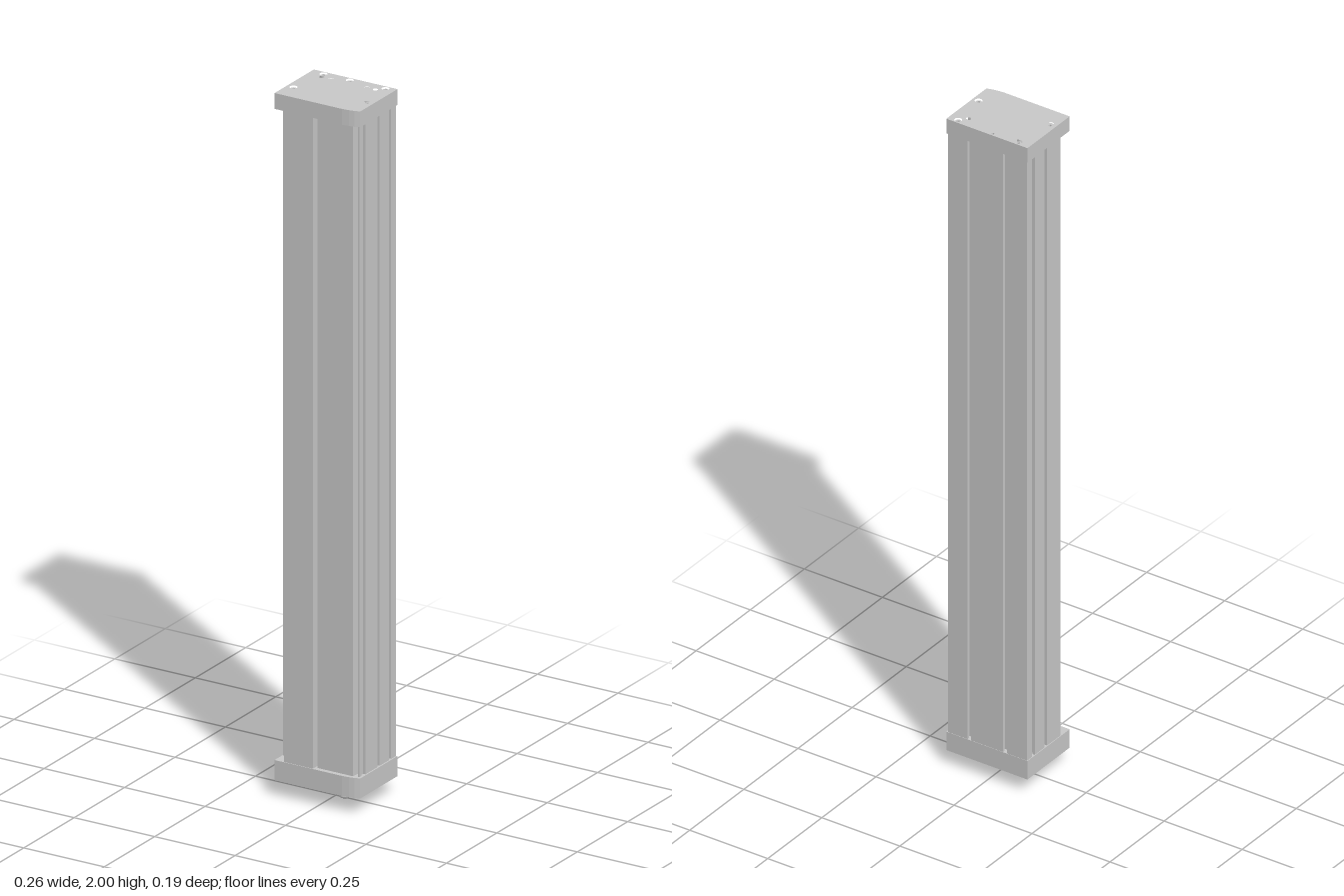
import * as THREE from 'three';

const material = new THREE.MeshStandardMaterial({ color: 0xcccccc });

// Plan outline given as [x, z] points, extruded upward from y0 to y1
function prism(name, points, y0, y1, holes = []) {
  const shape = new THREE.Shape(points.map(([x, z]) => new THREE.Vector2(x, -z)));
  for (const [x, z, r] of holes) {
    shape.holes.push(new THREE.Path().absarc(x, -z, r, 0, Math.PI * 2, true));
  }
  const geometry = new THREE.ExtrudeGeometry(shape, { depth: y1 - y0, bevelEnabled: false, curveSegments: 12 });
  geometry.rotateX(-Math.PI / 2);
  geometry.translate(0, y0, 0);
  const mesh = new THREE.Mesh(geometry, material);
  mesh.name = name;
  return mesh;
}

// Upright cylinder between two heights
function rod(name, x, z, r, y0, y1, sides = 24) {
  const mesh = new THREE.Mesh(new THREE.CylinderGeometry(r, r, y1 - y0, sides), material);
  mesh.position.set(x, (y0 + y1) / 2, z);
  mesh.name = name;
  return mesh;
}

// T-slot around [x, z], walking along [dx, dz]; the inside lies at [-dz, dx]
function slot(x, z, dx, dz) {
  const steps = [[-0.006, 0], [-0.006, 0.008], [-0.011, 0.008], [-0.011, 0.016],
    [0.011, 0.016], [0.011, 0.008], [0.006, 0.008], [0.006, 0]];
  return steps.map(([a, d]) => [x + a * dx - d * dz, z + a * dz + d * dx]);
}

export function createModel() {
  const model = new THREE.Group();
  model.name = 'linearActuator';

  // Slotted body profile: back, left side, stepped front, right side
  const profile = [
    [-0.128, -0.097], ...slot(-0.057, -0.097, 1, 0), ...slot(0.057, -0.097, 1, 0), [0.126, -0.097],
    ...slot(0.126, -0.067, 0, 1), ...slot(0.126, -0.01, 0, 1),
    [0.126, 0.055], [0.119, 0.055], [0.119, 0.07], [0.123, 0.07], [0.123, 0.08],
    [0.118, 0.08], [0.118, 0.06], [0.108, 0.06], [0.106, 0.084],
    [-0.004, 0.084], [-0.004, 0.065], [-0.012, 0.065], [-0.012, 0.095],
    [-0.102, 0.095], [-0.102, 0.05], [-0.12, 0.05], [-0.12, 0.058], [-0.128, 0.058],
    ...slot(-0.128, -0.01, 0, -1), ...slot(-0.128, -0.067, 0, -1),
  ];
  model.add(prism('body', profile, 0.1, 1.96));

  // End caps with one softened front corner
  const capOutline = [[-0.13, -0.098], [0.13, -0.098], [0.13, 0.087], [0.115, 0.092],
    [0.1, 0.095], [0.08, 0.097], [-0.13, 0.097]];
  const screws = [[-0.092, -0.085], [-0.01, -0.085], [0.101, -0.085], [-0.11, 0.035], [0.112, 0.025]];
  const pins = [[-0.084, -0.065], [-0.056, -0.065], [0.056, -0.065], [0.082, -0.065]];
  const topHoles = [...screws.map(([x, z]) => [x, z, 0.0105]), ...pins.map(([x, z]) => [x, z, 0.007])];
  model.add(prism('topCap', capOutline, 1.955, 2, topHoles));

  // Socket screws sunk in the top cap, and dowel pins
  const hexagon = (cx, cz, r) => {
    const path = new THREE.Path();
    path.setFromPoints(Array.from({ length: 6 }, (_, i) => new THREE.Vector2(
      cx + r * Math.cos(-i * Math.PI / 3), cz + r * Math.sin(-i * Math.PI / 3))));
    return path;
  };
  for (const [x, z] of screws) {
    const head = new THREE.Shape().absarc(0, 0, 0.0085, 0, Math.PI * 2);
    head.holes.push(hexagon(0, 0, 0.0045));
    const geometry = new THREE.ExtrudeGeometry(head, { depth: 0.03, bevelEnabled: false, curveSegments: 10 });
    geometry.rotateX(-Math.PI / 2);
    const screw = new THREE.Mesh(geometry, material);
    screw.position.set(x, 1.966, z);
    screw.name = 'screw';
    model.add(screw, rod('screwCore', x, z, 0.006, 1.96, 1.988, 12));
  }
  pins.forEach(([x, z], i) => {
    const top = i === 1 || i === 2 ? 1.999 : 1.992;
    model.add(rod('pin', x, z, 0.0069, 1.956, top, 16));
  });

  // Bottom cap with a round recess for the drive
  const sx = 0.026, sz = -0.003;
  model.add(prism('bottomCap', capOutline, 0.048, 0.105, [[sx, sz, 0.055]]));
  model.add(rod('bearingPlate', sx, sz, 0.0548, 0.056, 0.1, 32));

  // Drive collar and stepped shaft with a chamfered tip
  const drive = new THREE.Mesh(new THREE.LatheGeometry([
    [0, 0], [0.012, 0], [0.0145, 0.003], [0.0145, 0.033], [0.02, 0.033],
    [0.02, 0.04], [0.03, 0.04], [0.03, 0.06],
  ].map(([r, y]) => new THREE.Vector2(r, y)), 28).toNonIndexed(), material.clone());
  drive.geometry.computeVertexNormals();
  drive.material.side = THREE.DoubleSide;
  drive.position.set(sx, 0, sz);
  drive.name = 'driveShaft';
  model.add(drive);

  return model;
}
